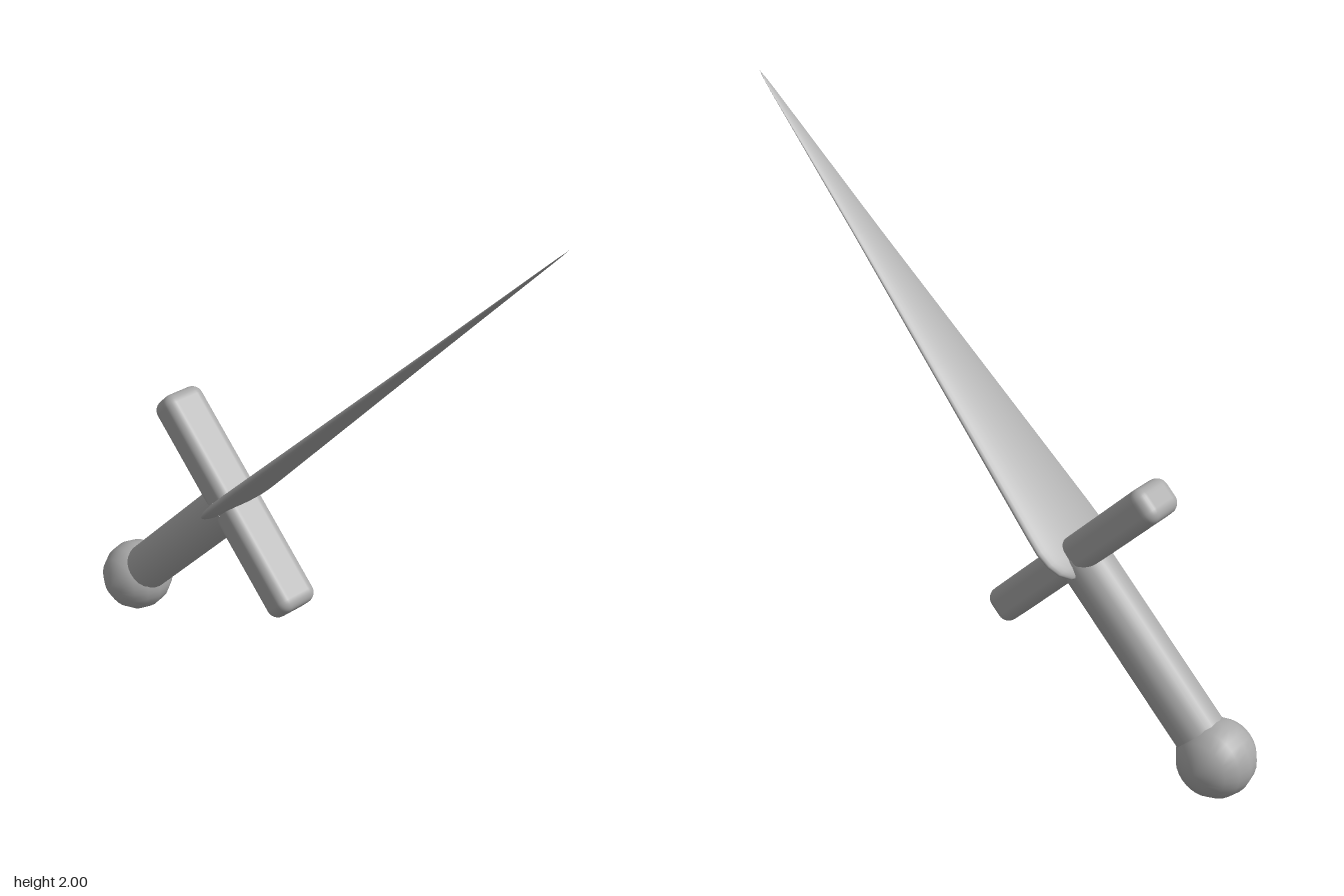
import * as THREE from 'three';
import { RoundedBoxGeometry } from 'three/addons/geometries/RoundedBoxGeometry.js';

export function createModel() {
  const model = new THREE.Group();
  model.name = 'dagger';
  const steel = new THREE.MeshStandardMaterial({ color: 0xaaaaaa });
  steel.name = 'greySteel';

  // The dagger is built upright from its pommel, then leaned 45 degrees
  const dagger = new THREE.Group();
  dagger.name = 'leaningDagger';
  dagger.position.set(-0.872, 0.13, 0);
  dagger.rotation.z = -Math.PI / 4;
  model.add(dagger);

  const add = (name, geometry, y) => {
    const mesh = new THREE.Mesh(geometry, steel);
    mesh.name = name;
    mesh.position.y = y;
    dagger.add(mesh);
    return mesh;
  };

  // Ball pommel, poles facing front and back
  add('pommel', new THREE.SphereGeometry(0.128, 28, 8).rotateX(Math.PI / 2), 0);

  // Round grip, ending inside the guard
  add('grip', new THREE.CylinderGeometry(0.085, 0.085, 0.76, 24), 0.38);

  // Cross guard with soft edges
  add('guard', new RoundedBoxGeometry(0.835, 0.12, 0.16, 4, 0.038), 0.767);

  // Flat tapering blade: a turned profile squashed to a thin ellipse
  const profile = [
    [0, 0.695], [0.06, 0.697], [0.1, 0.71], [0.135, 0.74], [0.155, 0.78],
    [0.163, 0.83], [0.159, 0.89], [0.103, 1.5], [0.0565, 2.0],
    [0.02, 2.45], [0.012, 2.55], [0.006, 2.61], [0, 2.645],
  ].map(([r, y]) => new THREE.Vector2(r, y));
  add('blade', new THREE.LatheGeometry(profile, 32).scale(0.17, 1, 1), 0);

  return model;
}
